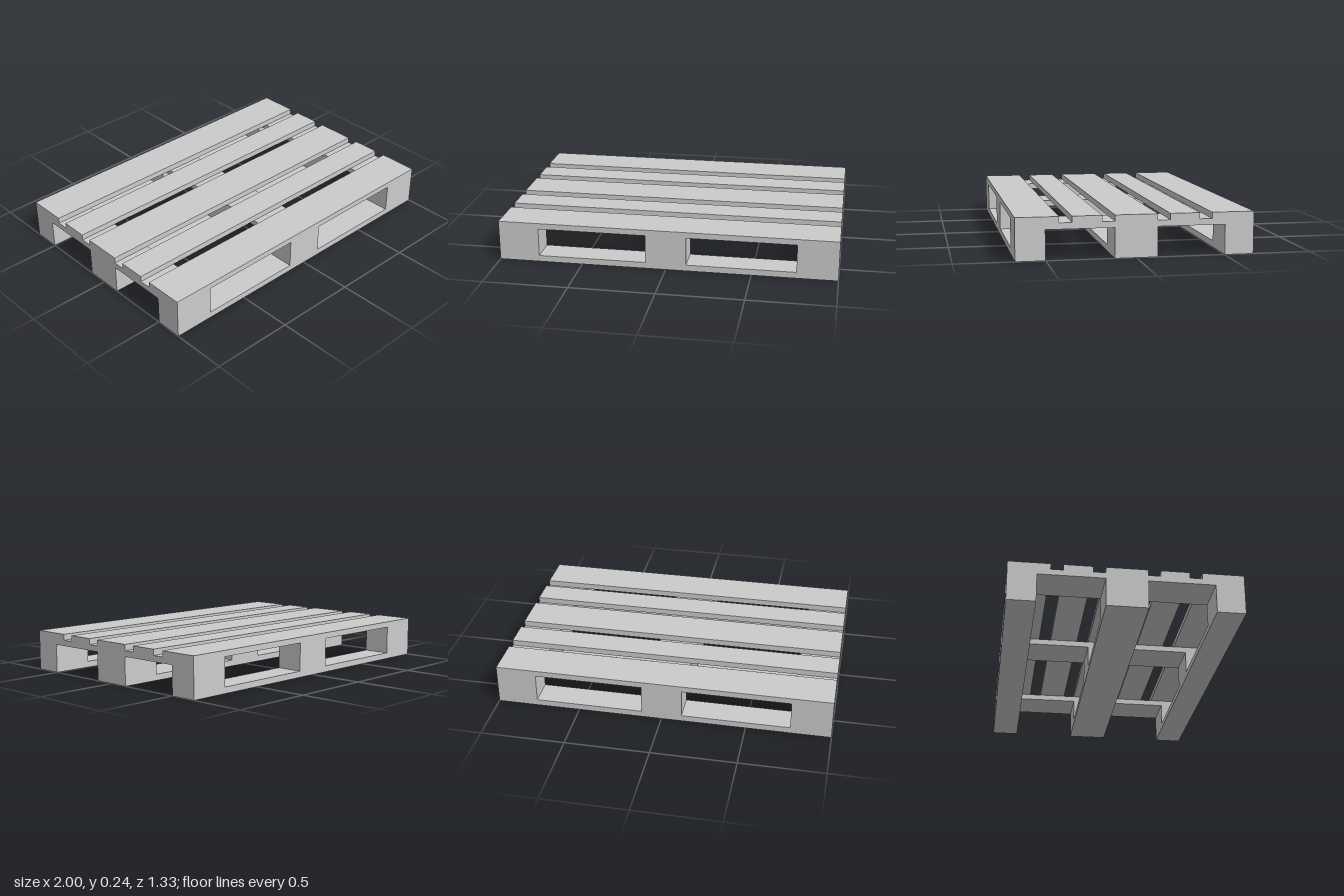
import * as THREE from 'three';

const material = new THREE.MeshStandardMaterial({ color: 0xcccccc, flatShading: true });

// Heights of the layers
const TOP = 0.24, DECK = 0.205, CROSS = 0.17, BASE = 0.037;
// Half depth, inner face of the outer runners, half width of the centre runner and blocks
const DEPTH = 0.667, OUTER = 0.502, MID = 0.12;
const BLOCK = 0.24;

function addBox(group, name, [x0, x1], [y0, y1], [z0, z1]) {
  const mesh = new THREE.Mesh(new THREE.BoxGeometry(x1 - x0, y1 - y0, z1 - z0), material);
  mesh.position.set((x0 + x1) / 2, (y0 + y1) / 2, (z0 + z1) / 2);
  mesh.name = name;
  group.add(mesh);
}

function rectangle(path, x0, x1, y0, y1) {
  path.moveTo(x0, y0);
  path.lineTo(x1, y0);
  path.lineTo(x1, y1);
  path.lineTo(x0, y1);
  path.closePath();
  return path;
}

// Bottom board, three blocks and top board as one beam with two fork openings
function addRunner(group, name, z0, z1) {
  const shape = rectangle(new THREE.Shape(), -1, 1, 0, TOP);
  shape.holes.push(
    rectangle(new THREE.Path(), -1 + BLOCK, -MID, BASE, DECK),
    rectangle(new THREE.Path(), MID, 1 - BLOCK, BASE, DECK)
  );
  const geometry = new THREE.ExtrudeGeometry(shape, { depth: z1 - z0, bevelEnabled: false });
  const mesh = new THREE.Mesh(geometry, material);
  mesh.position.z = z0;
  mesh.name = name;
  group.add(mesh);
}

export function createModel() {
  const pallet = new THREE.Group();
  pallet.name = 'pallet';

  addRunner(pallet, 'centreRunner', -MID, MID);
  addRunner(pallet, 'frontRunner', OUTER, DEPTH);
  addRunner(pallet, 'backRunner', -DEPTH, -OUTER);

  for (const [side, s] of [['front', 1], ['back', -1]]) {
    const span = (a, b) => (s > 0 ? [a, b] : [-b, -a]);

    // Deck: a narrow board, and the overhang of the wide outer board
    addBox(pallet, side + 'NarrowDeckBoard', [-1, 1], [DECK, TOP], span(0.19, 0.356));
    addBox(pallet, side + 'OuterDeckBoardOverhang', [-1, 1], [DECK, TOP], span(0.427, OUTER));

    // Cross boards bridging the runners beneath the deck
    [['right', -1, -1 + BLOCK], ['centre', -MID, MID], ['left', 1 - BLOCK, 1]].forEach(([place, x0, x1]) =>
      addBox(pallet, `${side}${place[0].toUpperCase()}${place.slice(1)}CrossBoard`,
        [x0, x1], [CROSS, DECK], span(MID, OUTER)));
  }
  return pallet;
}
